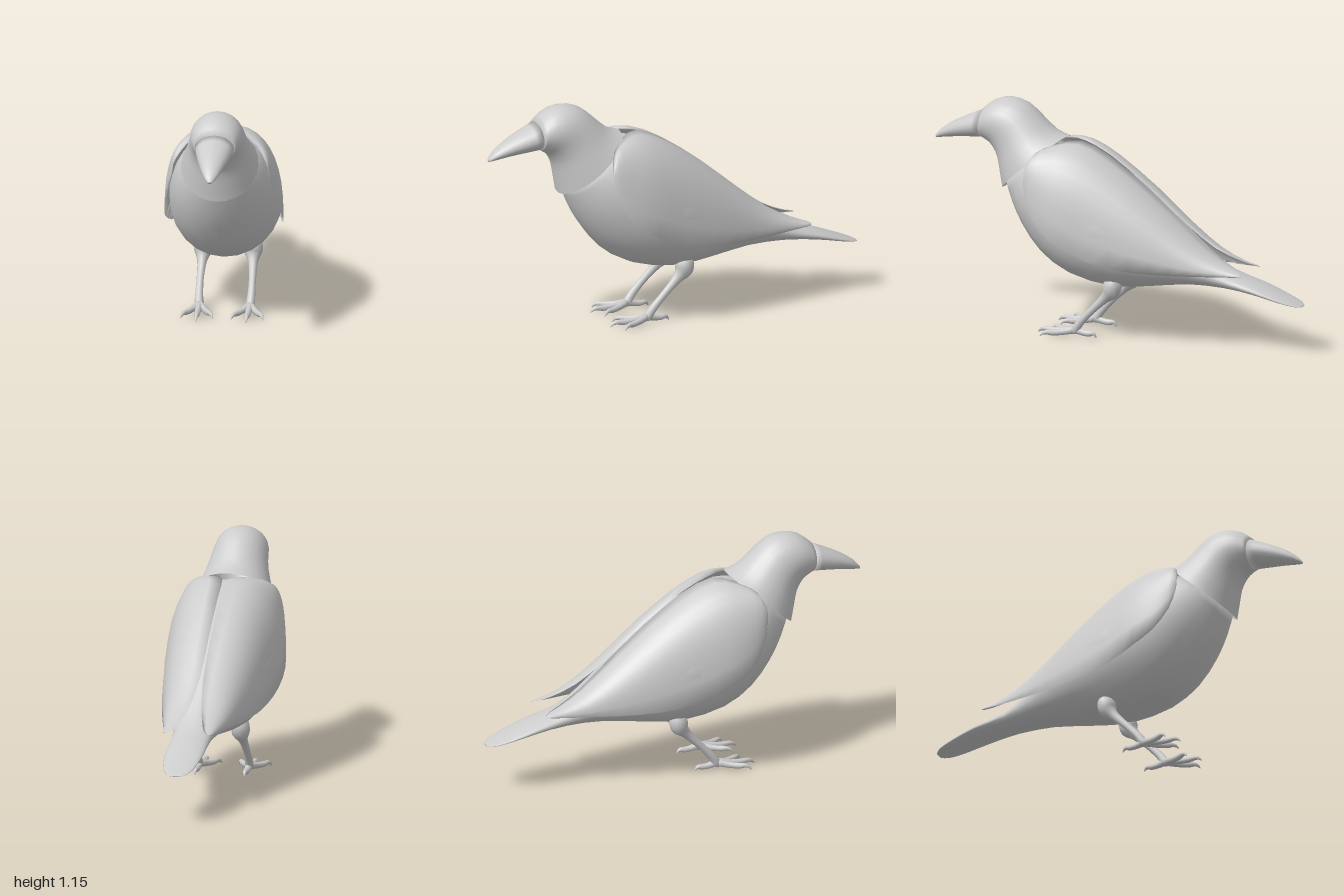
import * as THREE from 'three';

const material = new THREE.MeshStandardMaterial({ color: 0xcccccc, side: THREE.DoubleSide });
const V = (x, y, z) => new THREE.Vector3(x, y, z);

// Smoothly adds in-between rows to a table of section values
function refine(rows, steps) {
  const out = [];
  const at = i => rows[Math.max(0, Math.min(rows.length - 1, i))];
  for (let i = 0; i < rows.length - 1; i++) {
    for (let s = 0; s < steps; s++) {
      const t = s / steps;
      out.push(at(i).map((b, k) => {
        const a = at(i - 1)[k], c = at(i + 1)[k], d = at(i + 2)[k];
        return b + 0.5 * t * (c - a + t * (2 * a - 5 * b + 4 * c - d + t * (3 * (b - c) + d - a)));
      }));
    }
  }
  out.push(rows[rows.length - 1]);
  return out;
}

// Skins a list of rings; ends are closed with fans unless left open
function loft(rings, { startCap = true, endCap = true } = {}) {
  const n = rings[0].length, points = rings.flat(), index = [];
  for (let i = 0; i < rings.length - 1; i++) {
    for (let j = 0; j < n; j++) {
      const a = i * n + j, b = i * n + (j + 1) % n;
      index.push(a, b, a + n, b, b + n, a + n);
    }
  }
  const cap = (ring, base, flip) => {
    const centre = points.length;
    points.push(ring.reduce((s, p) => s.add(p), V(0, 0, 0)).divideScalar(n));
    for (let j = 0; j < n; j++) {
      const a = base + j, b = base + (j + 1) % n;
      if (flip) index.push(centre, b, a);
      else index.push(centre, a, b);
    }
  };
  if (startCap) cap(rings[0], 0, true);
  if (endCap) cap(rings[rings.length - 1], (rings.length - 1) * n, false);
  const geometry = new THREE.BufferGeometry().setFromPoints(points);
  geometry.setIndex(index);
  geometry.computeVertexNormals();
  return geometry;
}

// Tilted oval rings, front to back: [topZ, topY, bottomZ, bottomY, halfWidth]
function ovalRings(rows, sides, steps = 2) {
  return refine(rows, steps).map(([tz, ty, bz, by, w]) =>
    Array.from({ length: sides }, (_, j) => {
      const a = (j / sides) * Math.PI * 2, k = (1 + Math.cos(a)) / 2;
      return V(w * Math.sin(a), by + (ty - by) * k, bz + (tz - bz) * k);
    }));
}

// Tapered limb along points: [x, y, z, radius]
function limbRings(rows, sides = 10, steps = 3) {
  const path = refine(rows, steps);
  return path.map((p, i) => {
    const a = path[Math.max(0, i - 1)], b = path[Math.min(path.length - 1, i + 1)];
    const dir = V(b[0] - a[0], b[1] - a[1], b[2] - a[2]).normalize();
    const side = dir.clone().cross(V(0, 1, 0)).normalize();
    const up = side.clone().cross(dir);
    return Array.from({ length: sides }, (_, j) => {
      const t = (j / sides) * Math.PI * 2;
      return V(p[0], p[1], p[2]).addScaledVector(up, p[3] * Math.cos(t)).addScaledVector(side, p[3] * Math.sin(t));
    });
  });
}

// Lens-shaped wing sections: [z, innerX, topY, outerX, lowY]
function wingRings(rows) {
  const n = 10;
  return refine(rows, 2).map(([z, xi, yt, xo, yl]) => {
    const ring = [];
    for (let j = 0; j <= n; j++) {
      const t = (j / n) * Math.PI / 2;
      const s = j === 0 ? 0 : Math.sin(t) ** 0.8, c = j === n ? 0 : Math.cos(t) ** 0.8;
      ring.push(V(xi + (xo - xi) * s, yl + (yt - yl) * c, z));
    }
    // the underside bulges less than the outer face
    for (let j = n - 1; j > 0; j--) {
      const k = j / n;
      ring.push(ring[j].clone().lerp(V(xi + (xo - xi) * k, yt + (yl - yt) * k, z), 0.4));
    }
    return ring;
  });
}

const mirror = rings => rings.map(r => r.map(p => V(-p.x, p.y, p.z)).reverse());

export function createModel() {
  const model = new THREE.Group();
  model.name = 'bird';
  const add = (parent, name, geometry) => {
    const mesh = new THREE.Mesh(geometry, material);
    mesh.name = name;
    parent.add(mesh);
  };

  // Body running into the flat tail
  add(model, 'bodyAndTail', loft(ovalRings([
    [0.34, 0.945, 0.60, 0.73, 0.165],
    [0.24, 0.95, 0.56, 0.63, 0.215],
    [0.12, 0.905, 0.50, 0.52, 0.255],
    [0.0, 0.845, 0.40, 0.395, 0.275],
    [-0.12, 0.765, 0.25, 0.30, 0.275],
    [-0.25, 0.665, 0.03, 0.255, 0.24],
    [-0.36, 0.575, -0.17, 0.272, 0.185],
    [-0.48, 0.475, -0.38, 0.302, 0.13],
    [-0.60, 0.395, -0.58, 0.304, 0.098],
    [-0.75, 0.345, -0.75, 0.288, 0.098],
    [-0.88, 0.295, -0.88, 0.263, 0.084],
    [-0.96, 0.263, -0.96, 0.249, 0.06],
    [-0.99, 0.25, -0.99, 0.245, 0.025],
  ], 24)));

  // Hood with its flared, open collar
  add(model, 'head', loft(ovalRings([
    [0.74, 1.085, 0.73, 0.94, 0.1],
    [0.68, 1.135, 0.715, 0.93, 0.115],
    [0.60, 1.155, 0.69, 0.915, 0.13],
    [0.51, 1.135, 0.67, 0.89, 0.138],
    [0.43, 1.07, 0.65, 0.85, 0.15],
    [0.36, 1.01, 0.635, 0.78, 0.172],
    [0.29, 0.985, 0.62, 0.70, 0.193],
  ], 24), { endCap: false }));

  // Beak
  add(model, 'beak', loft(ovalRings([
    [1.0, 0.92, 0.995, 0.908, 0.012],
    [0.965, 0.96, 0.96, 0.914, 0.036],
    [0.90, 1.005, 0.89, 0.925, 0.06],
    [0.82, 1.045, 0.81, 0.934, 0.082],
    [0.74, 1.08, 0.73, 0.941, 0.098],
  ], 20)));

  const wing = wingRings([
    [0.42, 0.225, 0.85, 0.24, 0.78],
    [0.39, 0.17, 0.925, 0.265, 0.67],
    [0.31, 0.08, 0.965, 0.288, 0.56],
    [0.2, 0.012, 0.975, 0.295, 0.49],
    [0.05, 0.005, 0.91, 0.277, 0.425],
    [-0.15, 0.005, 0.77, 0.245, 0.39],
    [-0.35, 0.008, 0.605, 0.2, 0.383],
    [-0.5, 0.03, 0.49, 0.165, 0.385],
    [-0.62, 0.06, 0.43, 0.137, 0.388],
    [-0.68, 0.08, 0.41, 0.127, 0.391],
    [-0.705, 0.1, 0.4, 0.115, 0.393],
  ]);

  // Leg with a rounded thigh, slender shank and ankle
  const leg = limbRings([
    [0.125, 0.325, -0.02, 0.03],
    [0.125, 0.29, -0.015, 0.046],
    [0.125, 0.25, -0.005, 0.045],
    [0.127, 0.21, 0.03, 0.025],
    [0.13, 0.14, 0.1, 0.018],
    [0.13, 0.075, 0.16, 0.02],
    [0.127, 0.03, 0.19, 0.022],
    [0.126, 0.015, 0.195, 0.012],
  ], 12);

  // Three front toes and one hind toe, each ending in a hooked claw
  const toes = [[0.125, 0.39], [0.045, 0.345], [0.207, 0.345], [0.125, 0.075]].map(([x, z]) => {
    const along = (k, y, r) => [0.126 + (x - 0.126) * k, y, 0.19 + (z - 0.19) * k, r];
    return limbRings([
      along(0, 0.035, 0.02), along(0.35, 0.024, 0.016), along(0.65, 0.021, 0.015),
      along(0.8, 0.024, 0.012), along(0.92, 0.019, 0.008), along(1, 0.004, 0.002),
    ], 8, 2);
  });

  for (const [side, place] of [['left', r => r], ['right', mirror]]) {
    add(model, side + 'Wing', loft(place(wing)));
    const limb = new THREE.Group();
    limb.name = side + 'Leg';
    add(limb, side + 'Shank', loft(place(leg)));
    toes.forEach((toe, i) => add(limb, `${side}Toe${i + 1}`, loft(place(toe))));
    model.add(limb);
  }
  return model;
}
